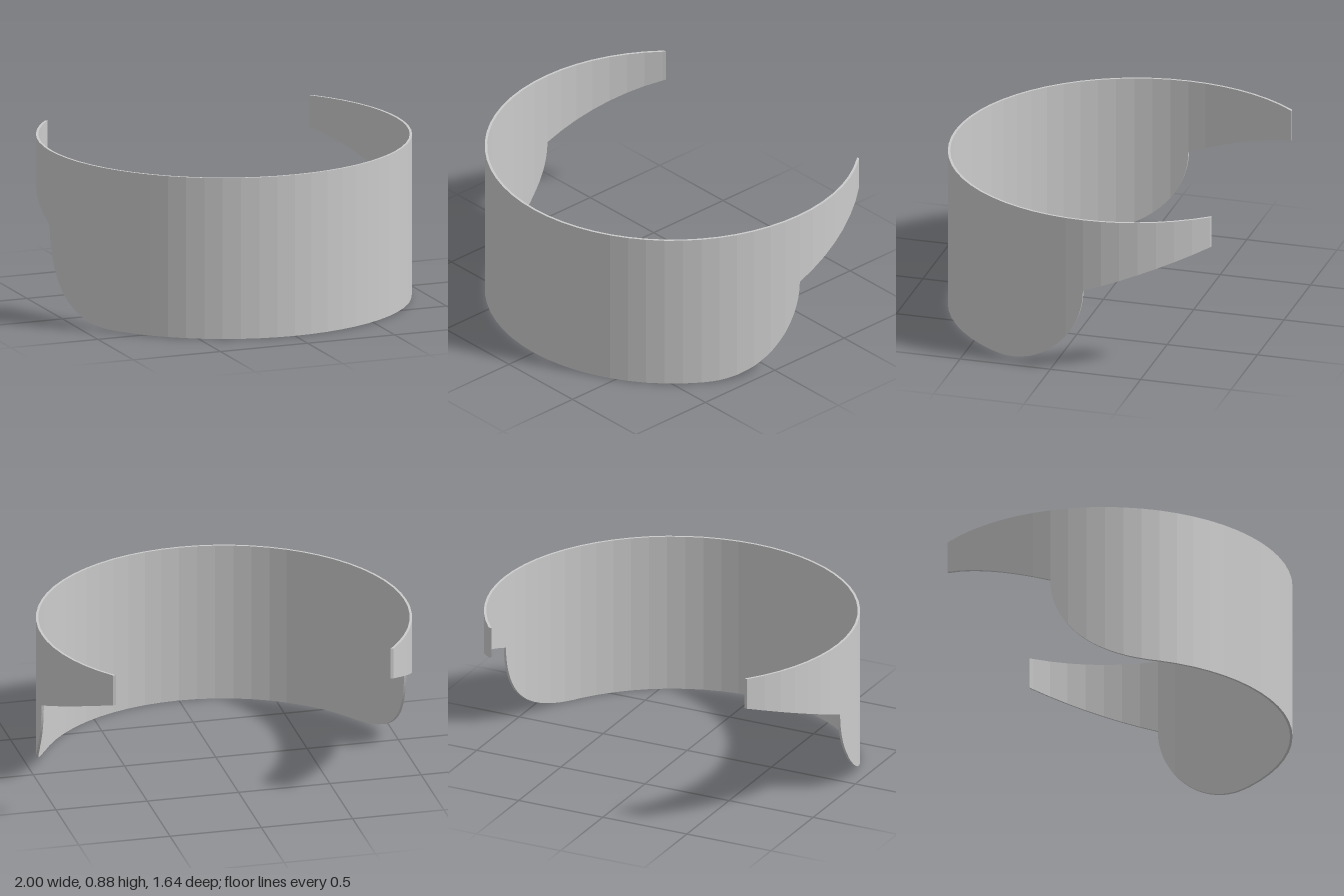
import * as THREE from 'three';

const CENTER_Z = -0.18, OUTER = 1, INNER = 0.987, BACK_Z = -0.82, TOP = 0.88;
const FACET = (Math.PI * 2) / 64;

// Lower edge height: flat front, elliptical side curve, then a sloping strap
function lowerEdge(z) {
  if (z >= 0.35) return 0;
  if (z >= CENTER_Z) {
    const t = (0.35 - z) / 0.53;
    return 0.473 * (1 - Math.sqrt(Math.max(0, 1 - t * t)));
  }
  return 0.473 + ((CENTER_Z - z) / (CENTER_Z - BACK_Z)) * 0.235;
}

// Point on a 64-sided ring, measured from the front
function ringPoint(angle, radius) {
  const local = angle - (Math.floor(angle / FACET + 1e-6) + 0.5) * FACET;
  const r = (radius * Math.cos(FACET / 2)) / Math.cos(local);
  return [r * Math.sin(angle), CENTER_Z + r * Math.cos(angle)];
}

// Column angles for one half: every facet corner plus extra ones along the curve
function halfAngles() {
  const end = Math.acos((BACK_Z - CENTER_Z) / OUTER);
  const angles = [end];
  for (let a = 0; a < end - 0.005; a += FACET) angles.push(a);
  for (let i = 1; i <= 32; i++) {
    const phi = (i / 32) * Math.PI / 2;
    angles.push(Math.acos(0.53 * (1 - Math.cos(phi))));
  }
  angles.sort((a, b) => a - b);
  return angles.filter((a, i) => i === 0 || a - angles[i - 1] > 1e-5);
}

// Cross-section: outer bottom, outer top, inner top, inner bottom
function section(angle, side, isEnd) {
  const wall = (radius) => {
    if (!isEnd) return ringPoint(angle, radius);
    const dz = BACK_Z - CENTER_Z;
    return [Math.sqrt(radius * radius - dz * dz), BACK_Z];
  };
  const [ox, oz] = wall(OUTER), [ix, iz] = wall(INNER);
  return [
    [side * ox, lowerEdge(oz), oz], [side * ox, TOP, oz],
    [side * ix, TOP, iz], [side * ix, lowerEdge(iz), iz],
  ];
}

function bandGeometry() {
  const half = halfAngles(), last = half.length - 1;
  const sections = [];
  for (let i = last; i > 0; i--) sections.push(section(half[i], -1, i === last));
  for (let i = 0; i <= last; i++) sections.push(section(half[i], 1, i === last));

  const positions = [];
  const quad = (a, b, c, d) => positions.push(...a, ...b, ...c, ...a, ...c, ...d);
  for (let i = 0; i < sections.length - 1; i++) {
    const s = sections[i], n = sections[i + 1];
    for (let j = 0; j < 4; j++) {
      const k = (j + 1) % 4;
      quad(s[j], n[j], n[k], s[k]);
    }
  }
  // End caps at the back opening
  const first = sections[0], final = sections[sections.length - 1];
  quad(first[0], first[1], first[2], first[3]);
  quad(final[3], final[2], final[1], final[0]);

  const geometry = new THREE.BufferGeometry();
  geometry.setAttribute('position', new THREE.Float32BufferAttribute(positions, 3));
  geometry.computeVertexNormals();
  return geometry;
}

export function createModel() {
  const model = new THREE.Group();
  model.name = 'openBand';
  const material = new THREE.MeshStandardMaterial({
    color: 0xcccccc, flatShading: true, side: THREE.DoubleSide,
  });
  const band = new THREE.Mesh(bandGeometry(), material);
  band.name = 'curvedBand';
  model.add(band);
  return model;
}
